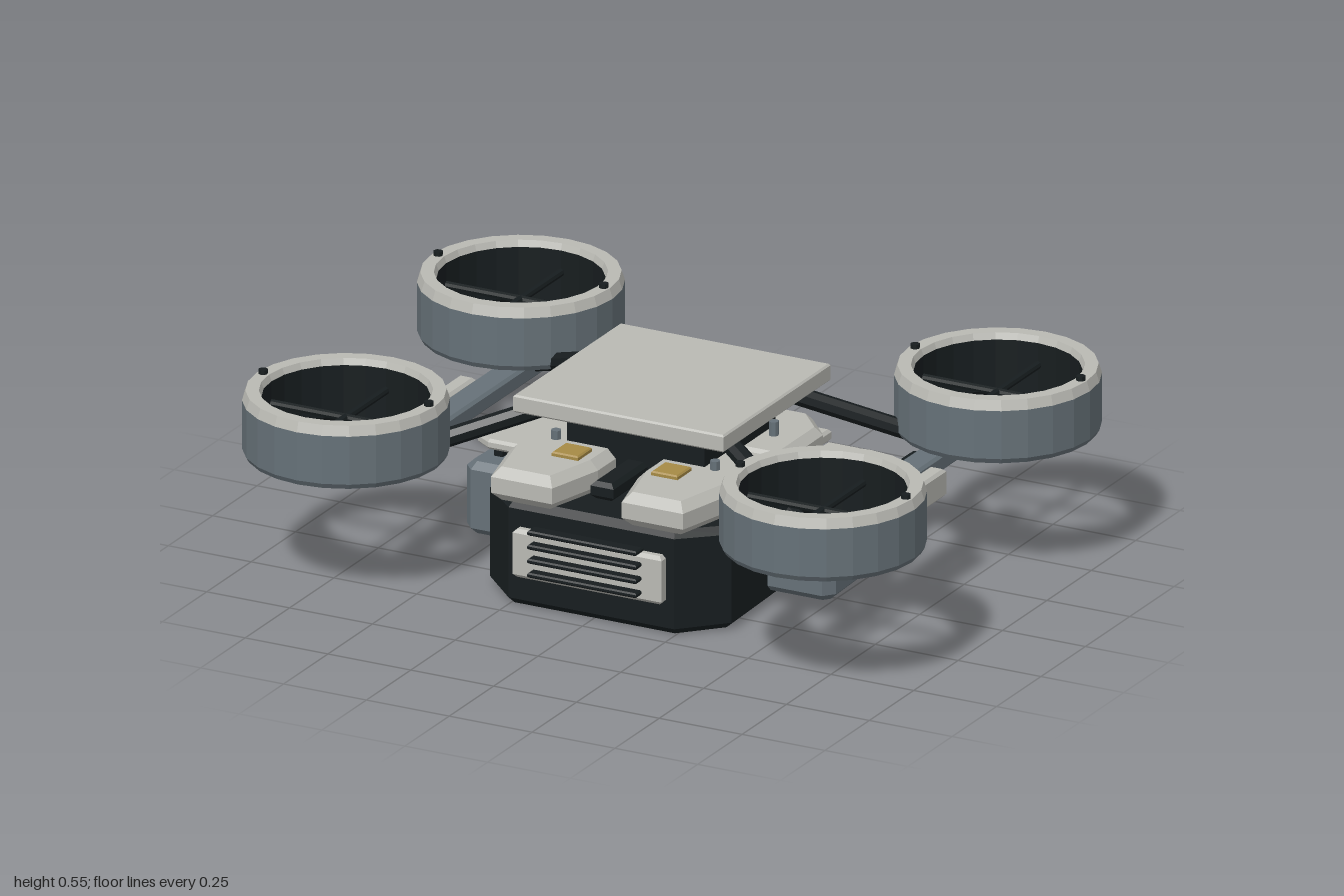
import * as THREE from 'three';

const mat = (color) => new THREE.MeshStandardMaterial({ color, flatShading: true });

export function createModel() {
  const root = new THREE.Group();
  const light = mat(0xb9b9b3), slate = mat(0x667178), black = mat(0x171d1f), gold = mat(0xa68a45);

  const add = (name, geo, material, parent = root) => {
    const m = new THREE.Mesh(geo, material);
    m.name = name;
    parent.add(m);
    return m;
  };

  // Bevelled prism from a plan outline of [x, z] points between two heights
  const prism = (pts, y0, y1, b) => {
    const shape = new THREE.Shape(pts.map(([x, z]) => new THREE.Vector2(x, z)));
    const g = new THREE.ExtrudeGeometry(shape, {
      depth: y1 - y0 - 2 * b, bevelThickness: b, bevelSize: b, bevelOffset: -b, bevelSegments: 1,
    });
    return g.rotateX(Math.PI / 2).translate(0, y1 - b, 0);
  };

  // Box given by its limits, with bevelled edges
  const block = (x0, x1, y0, y1, z0, z1, b = 0.008) =>
    prism([[x0, z0], [x1, z0], [x1, z1], [x0, z1]], y0, y1, b);

  // Squeeze heights towards the rear (-z)
  const taper = (g, mid, zFront, zBack, k) => {
    const p = g.attributes.position;
    for (let i = 0; i < p.count; i++) {
      const t = THREE.MathUtils.clamp((zFront - p.getZ(i)) / (zFront - zBack), 0, 1);
      p.setY(i, mid + (p.getY(i) - mid) * (1 - (1 - k) * t));
    }
    g.computeVertexNormals();
    return g;
  };

  // Cylinder between two points
  const rod = (a, b, r, n = 8) => {
    const A = new THREE.Vector3(...a), d = new THREE.Vector3(...b).sub(A);
    const g = new THREE.CylinderGeometry(r, r, d.length(), n);
    g.applyQuaternion(new THREE.Quaternion().setFromUnitVectors(
      new THREE.Vector3(0, 1, 0), d.clone().normalize()));
    const c = A.addScaledVector(d, 0.5);
    return g.translate(c.x, c.y, c.z);
  };

  const lathe = (pts, n = 24) =>
    new THREE.LatheGeometry(pts.map(([r, y]) => new THREE.Vector2(r, y)), n);

  // Main hull
  add('hull', taper(prism([
    [-0.25, 0.45], [-0.365, 0.34], [-0.365, -0.24], [-0.27, -0.34],
    [0.27, -0.34], [0.365, -0.24], [0.365, 0.34], [0.25, 0.45],
  ], 0, 0.297, 0.02), 0.15, 0.45, -0.34, 0.86), black);

  // Front grille
  add('grillePanel', block(-0.225, 0.225, 0.09, 0.228, 0.44, 0.475, 0.01), light);
  for (let i = 0; i < 4; i++) {
    const y = 0.117 + i * 0.04;
    add('grilleSlat', block(-0.165, 0.165, y - 0.007, y + 0.007, 0.465, 0.505, 0.004), black);
  }

  // Roof panel and its pedestal
  add('roofPanel', block(-0.318, 0.318, 0.483, 0.533, -0.305, 0.298, 0.005), light);
  add('roofPedestal', block(-0.208, 0.208, 0.29, 0.465, -0.2, 0.2, 0.015), black);
  add('roofMount', block(-0.16, 0.16, 0.45, 0.485, -0.15, 0.15, 0.005), black);

  // Centre shaft between the lids
  add('centreShaft', block(-0.035, 0.035, 0.32, 0.37, 0.15, 0.39, 0.012), black);

  for (const s of [1, -1]) {
    const mx = (pts) => pts.map(([x, z]) => [x * s, z]);
    const bx = (x0, x1, ...r) => block(Math.min(s * x0, s * x1), Math.max(s * x0, s * x1), ...r);

    // Upper lids
    add('frontLid', prism(mx([
      [0.06, 0.02], [0.06, 0.3], [0.105, 0.475], [0.29, 0.475], [0.335, 0.29], [0.335, 0.02],
    ]), 0.295, 0.39, 0.025), light);
    add('rearLid', prism(mx([
      [0.04, 0], [0.04, -0.33], [0.25, -0.33], [0.33, -0.24], [0.33, 0],
    ]), 0.29, 0.375, 0.022), light);
    add('rearShelf', bx(0.03, 0.27, 0.27, 0.305, -0.4, -0.25), light);
    add('rearShelfCap', bx(0.07, 0.235, 0.3, 0.335, -0.35, -0.25, 0.01), light);
    add('lidContact', bx(0.11, 0.19, 0.385, 0.402, 0.24, 0.32, 0.004), gold);
    add('lidPost', rod([s * 0.24, 0.36, -0.13], [s * 0.24, 0.415, -0.13], 0.014), slate);
    add('lidPost', rod([s * 0.24, 0.36, 0.2], [s * 0.24, 0.415, 0.2], 0.014), slate);

    // Side pod with its cover plate
    add('sidePod', taper(prism(mx([
      [0.33, 0.14], [0.53, 0.14], [0.557, 0.11], [0.557, -0.18],
      [0.5, -0.28], [0.42, -0.33], [0.33, -0.33],
    ]), 0.04, 0.247, 0.02), 0.143, 0.14, -0.33, 0.85), slate);
    add('podCover', prism(mx([
      [0.3, 0.1], [0.5, 0.1], [0.545, 0.07], [0.545, -0.2], [0.51, -0.24], [0.3, -0.24],
    ]), 0.275, 0.305, 0.008), light);
    for (const x of [0.41, 0.45, 0.49])
      add('podSpacer', bx(x - 0.013, x + 0.013, 0.235, 0.28, -0.18, 0.06, 0.004), black);

    // Rear tube
    add('rearTube', lathe([
      [0, -0.61], [0.03, -0.61], [0.03, -0.615], [0.044, -0.615], [0.051, -0.6], [0.051, -0.25],
    ].map(([r, z]) => [r, z]), 14).rotateX(Math.PI / 2).translate(s * 0.43, 0.152, 0), black);

    // Rear equipment box with bolts
    add('rearBox', bx(0.235, 0.37, 0.06, 0.262, -0.43, -0.28, 0.022), light);
    for (const [x, y] of [[0.275, 0.1], [0.295, 0.22], [0.335, 0.1]])
      add('rearBolt', rod([s * x, y, -0.4], [s * x, y, -0.455], 0.016), slate);

    // Side rail and its outer pad
    add('sideRail', bx(0.6, 0.68, 0.305, 0.355, -0.51, 0.505), slate);
    add('railPad', bx(0.685, 0.735, 0.273, 0.353, -0.178, 0.178), light);

    for (const f of [1, -1]) {
      // Arm from under the roof down to the rail
      add('arm', rod([s * 0.27, 0.475, f * 0.19], [s * 0.63, 0.335, f * 0.385], 0.026), black);

      // Ducted ring
      const ring = new THREE.Group();
      ring.name = 'rotorRing';
      ring.position.set(s * 0.72, 0, f > 0 ? 0.488 : -0.497);
      root.add(ring);
      add('ringShell', lathe([[0.235, 0.36], [0.268, 0.36], [0.277, 0.375], [0.277, 0.512]]), slate, ring);
      add('ringLip', lathe([[0.277, 0.512], [0.268, 0.54], [0.232, 0.54], [0.225, 0.522]]), light, ring);
      add('ringLiner', lathe([[0.225, 0.522], [0.225, 0.375], [0.235, 0.36]]), black, ring);
      add('crossBar', rod([-0.235, 0.46, 0], [0.235, 0.46, 0], 0.011), black, ring);
      add('crossBar', rod([0, 0.46, -0.235], [0, 0.46, 0.235], 0.011), black, ring);
      for (const e of [1, -1])
        add('ringStud', rod([e * 0.25, 0.52, 0], [e * 0.25, 0.552, 0], 0.013), black, ring);
    }
  }

  // Rear nozzle with hollow mouth (profile runs along the rear axis)
  const nozzle = (pts) => lathe(pts, 16).rotateX(Math.PI / 2).translate(0, 0.152, 0);
  add('nozzleNeck', nozzle([[0.1, -0.48], [0.1, -0.3]]), black);
  add('nozzleBell', nozzle([
    [0.075, -0.5], [0.085, -0.552], [0.115, -0.552], [0.136, -0.53], [0.136, -0.485], [0.12, -0.465], [0.09, -0.465],
  ]), slate);
  add('nozzleCore', nozzle([[0, -0.5], [0.08, -0.5]]), black);
  for (let i = 0; i < 8; i++) {
    const a = (i + 0.5) * Math.PI / 4, x = Math.cos(a) * 0.1, y = 0.152 + Math.sin(a) * 0.1;
    add('nozzleRib', rod([x, y, -0.32], [x, y, -0.47], 0.014, 6), slate);
  }

  // Lower rear skid
  add('rearSkid', block(-0.2, 0.2, 0.003, 0.06, -0.34, -0.25, 0.015), black);

  return root;
}
